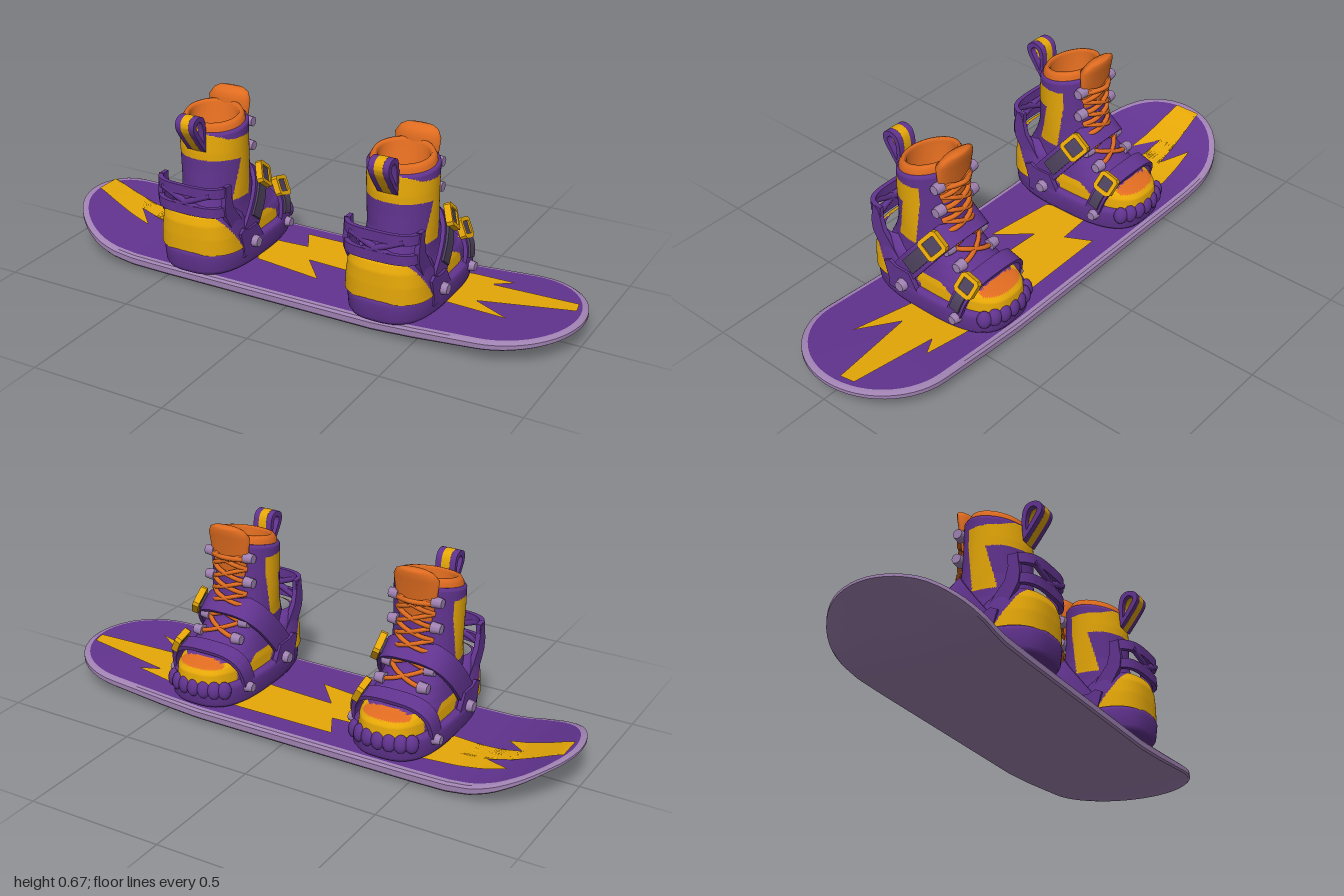
import * as THREE from 'three';
import { toCreasedNormals } from 'three/addons/utils/BufferGeometryUtils.js';

const mat = (name, color) => Object.assign(new THREE.MeshStandardMaterial({ color }), { name });
const purple = mat('purple', 0x61338f), yellow = mat('yellow', 0xe6a808), orange = mat('orange', 0xe06c20);
const lilac = mat('lilac', 0xa082b2), dark = mat('dark grey', 0x4d415c);

function add(parent, name, geo, material, x = 0, y = 0, z = 0) {
  const m = new THREE.Mesh(geo, material);
  m.name = name;
  m.position.set(x, y, z);
  parent.add(m);
  return m;
}

// Linear lookup in a table whose first column is the key
function sample(table, t) {
  let i = 1;
  while (i < table.length - 1 && table[i][0] < t) i++;
  const a = table[i - 1], b = table[i];
  const k = THREE.MathUtils.clamp((t - a[0]) / (b[0] - a[0]), 0, 1);
  return a.map((v, j) => v + (b[j] - v) * k);
}
const sampleRows = (table, y0, y1, n) => Array.from({ length: n }, (_, i) => sample(table, y0 + (y1 - y0) * i / (n - 1)));

// Skin closed rings of points (bottom to top); pick(centre) chooses the material index
function skin(rings, pick = () => 0) {
  const n = rings[0].length, buckets = [[], [], []], pts = rings.flat();
  const tri = (a, b, c) => {
    const mid = pts[a].clone().add(pts[b]).add(pts[c]).divideScalar(3);
    buckets[pick(mid)].push(a, b, c);
  };
  for (let r = 0; r < rings.length - 1; r++) for (let j = 0; j < n; j++) {
    const a = r * n + j, b = r * n + (j + 1) % n;
    tri(a, a + n, b);
    tri(b, a + n, b + n);
  }
  const geo = new THREE.BufferGeometry().setFromPoints(pts);
  geo.setIndex(buckets.flat());
  let start = 0;
  buckets.forEach((k, i) => { if (k.length) geo.addGroup(start, k.length, i); start += k.length; });
  geo.computeVertexNormals();
  return geo;
}

// Horizontal superellipse slices: rows of [y, back z, front z, half width, squareness]
function slices(rows, pick, tilt = 0, sides = 64) {
  const pow = (v, p) => Math.sign(v) * Math.abs(v) ** p;
  return skin(rows.map(([y, zb, zf, rx, p = 1]) => Array.from({ length: sides }, (_, i) => {
    const a = i / sides * Math.PI * 2;
    const z = (zb + zf) / 2 + (zb - zf) / 2 * pow(Math.sin(a), p);
    return new THREE.Vector3(rx * pow(Math.cos(a), p), y + tilt * (0.085 - z) * Math.max(0, y - 0.4) * 5, z);
  })), pick);
}

// Plate with a side outline given as [z, y], centred on x = 0
function plate(points, width, hole, curved) {
  const v = (l) => l.map(([z, y]) => new THREE.Vector2(z, y));
  const out = (p) => curved ? new THREE.SplineCurve([...v(p), v(p)[0]]).getPoints(40) : v(p);
  const shape = new THREE.Shape(out(points));
  if (hole) shape.holes.push(new THREE.Path(out(hole)));
  const geo = new THREE.ExtrudeGeometry(shape, { depth: width, bevelEnabled: false });
  return toCreasedNormals(geo.translate(0, 0, -width / 2).rotateY(-Math.PI / 2), 0.7);
}

// Bent band: half arch in local xy, extruded along z
function arch(w, h, width, thick = 0.014, a0 = 0, a1 = Math.PI) {
  const pts = [];
  const at = (a, o) => new THREE.Vector2(
    Math.sign(Math.cos(a)) * (w + o) * Math.abs(Math.cos(a)) ** 0.65, (h + o) * Math.abs(Math.sin(a)) ** 0.65);
  for (let i = 0; i <= 36; i++) pts.push(at(a0 + (a1 - a0) * i / 36, thick));
  for (let i = 36; i >= 0; i--) pts.push(at(a0 + (a1 - a0) * i / 36, 0));
  const geo = new THREE.ExtrudeGeometry(new THREE.Shape(pts), { depth: width, bevelEnabled: false });
  return toCreasedNormals(geo.translate(0, 0, -width / 2), 0.7);
}

const tube = (pts, r) => new THREE.TubeGeometry(new THREE.CatmullRomCurve3(pts), 20, r, 6);

// Board: [x, underside height, thickness]
const boardTable = [[-1, 0.135, 0.02], [-0.95, 0.118, 0.023], [-0.88, 0.083, 0.028], [-0.8, 0.047, 0.034],
  [-0.72, 0.022, 0.039], [-0.64, 0.01, 0.042], [-0.5, 0.008, 0.042], [0.35, 0.008, 0.042], [0.5, 0.018, 0.041], [1, 0.068, 0.027]];

function boardRing([inset, level, dy]) {
  const r = 0.275 - inset, L = 0.725, pts = [];
  for (const s of [1, -1]) {
    for (let i = 0; i < 28; i++) {
      const a = (i / 28 - 0.5) * Math.PI;
      pts.push([s * (L + r * Math.cos(a)), s * r * Math.sin(a)]);
    }
    for (let i = 0; i < 72; i++) pts.push([s * L * (1 - i / 36), s * r]);
  }
  return pts.map(([x, z]) => {
    const [, bottom, thick] = sample(boardTable, x);
    return new THREE.Vector3(x, bottom + thick * level + dy, z - 0.01);
  });
}

function boardBolt() {
  const outline = [[-0.97, -0.09], [-0.71, -0.102], [-0.81, -0.165], [-0.5, -0.195], [-0.3, -0.095], [-0.11, -0.107],
    [-0.16, -0.2], [0.22, -0.203], [0.35, -0.194], [0.53, -0.188], [0.69, -0.17], [0.62, -0.13], [0.95, -0.098], [0.96, -0.045],
    [0.62, 0.008], [0.77, 0.095], [0.5, 0.05], [0.2, 0], [-0.05, -0.012], [0.05, 0.105], [-0.22, 0.07],
    [-0.25, 0.014], [-0.5, 0.004], [-0.8, -0.03], [-0.72, 0.047], [-0.97, 0.011]];
  const flat = new THREE.ShapeGeometry(new THREE.Shape(outline.map((p) => new THREE.Vector2(...p)))).toNonIndexed();
  const src = flat.getAttribute('position'), pts = [];
  // Split the triangles so the paint follows the bent deck
  const split = (a, b, c, level) => {
    if (!level) return pts.push(a, c, b);
    const ab = a.clone().lerp(b, 0.5), bc = b.clone().lerp(c, 0.5), ca = c.clone().lerp(a, 0.5);
    [[a, ab, ca], [ab, b, bc], [ca, bc, c], [ab, bc, ca]].forEach((t) => split(...t, level - 1));
  };
  for (let i = 0; i < src.count; i += 3)
    split(...[0, 1, 2].map((k) => new THREE.Vector3().fromBufferAttribute(src, i + k)), 4);
  const geo = new THREE.BufferGeometry().setFromPoints(pts.map((p) => {
    const [, bottom, thick] = sample(boardTable, p.x);
    return new THREE.Vector3(p.x, bottom + thick + 0.0105, p.y);
  }));
  geo.computeVertexNormals();
  return geo;
}

// Boot slices: [y, back z, front z, half width, squareness]
const bootTable = [[0.08, 0.27, -0.265, 0.135, 0.72], [0.15, 0.27, -0.274, 0.137, 0.72], [0.185, 0.265, -0.27, 0.134, 0.72],
  [0.203, 0.26, -0.255, 0.13, 0.75], [0.215, 0.255, -0.205, 0.128, 0.75], [0.25, 0.24, -0.152, 0.122, 0.8],
  [0.28, 0.225, -0.11, 0.12, 0.85], [0.32, 0.21, -0.067, 0.12, 0.9], [0.36, 0.203, -0.046, 0.122, 1],
  [0.42, 0.2, -0.035, 0.124, 1], [0.5, 0.2, -0.03, 0.126, 1], [0.575, 0.195, -0.027, 0.128, 1]];

// Point on the front of the boot
function onFront(x, y, lift) {
  const [, zb, zf, rx, p] = sample(bootTable, y);
  const z = (zb + zf) / 2 - (zb - zf) / 2 * (1 - (Math.abs(x) / rx) ** (2 / p)) ** (p / 2);
  return new THREE.Vector3(x, y + lift * 0.5, z - lift);
}

function bootPaint({ x, y, z }) {
  if (z < -0.195 && y > 0.2 && Math.abs(x) < 0.09) return 2;
  const collarBand = y > 0.465 && y < 0.543 + Math.max(0, z - 0.15) * 0.5 && z > 0.038;
  const sideStripe = y > 0.31 && y < 0.54 && z > 0.036 + Math.max(0, 0.48 - y) * 0.12 && z < 0.104 + (0.47 - y) * 0.24;
  const sidePatch = y > 0.145 && y < 0.208 - Math.max(0, -z - 0.06) * 0.6 && z > -0.115 && z < 0.06 - (0.205 - y) * 0.6;
  const toe = z < -0.17 && y > 0.14 && y < 0.213;
  return collarBand || sideStripe || sidePatch || toe ? 1 : 0;
}

// Strap over the foot with pad and buckle on the left side
function strap(boot, name, y, z, turn, w, h, width, pad, buckle, size) {
  const g = new THREE.Group();
  g.name = name;
  g.position.set(0, y, z);
  g.rotation.x = turn;
  add(g, 'strapBand', arch(w, h, width), purple);
  add(g, 'strapPad', arch(w + 0.008, h + 0.008, width * 0.66, 0.014, ...pad), dark);
  const square = (s, c) => [[-s, c - s], [c - s, -s], [s - c, -s], [s, c - s], [s, s - c], [s - c, s], [c - s, s], [-s, s - c]];
  const frame = add(g, 'buckleFrame', plate(square(size / 2, 0.01), 0.024, square(size / 2 - 0.015, 0.003)), yellow, buckle[0], buckle[1]);
  frame.rotation.z = buckle[2];
  const core = add(g, 'buckleCore', new THREE.BoxGeometry(0.016, size * 0.7, size * 0.7), dark, buckle[0] - 0.002, buckle[1]);
  core.rotation.z = buckle[2];
  boot.add(g);
}

function makeBoot() {
  const boot = new THREE.Group();
  // Upper, liner and tongue
  const rows = [...sampleRows(bootTable, 0.08, 0.575, 110), [0.583, 0.19, -0.022, 0.123, 1], [0.583, 0.18, -0.012, 0.113, 1]];
  add(boot, 'bootUpper', slices(rows, bootPaint, 0.18, 144), [purple, yellow, orange]);
  const liner = [[0.55, 0.189, -0.018, 0.122], [0.595, 0.185, -0.012, 0.116], [0.61, 0.177, -0.005, 0.107],
    [0.612, 0.168, 0.004, 0.097], [0.6, 0.16, 0.012, 0.09], [0.45, 0.15, 0.055, 0.085], [0.449, 0.1, 0.1, 0]];
  add(boot, 'liner', slices(liner, (p) => p.y < 0.465 ? 1 : 0, 0.18), [orange, dark]);
  const tongue = [[0.48, 0, -0.032, 0.06], [0.57, 0.006, -0.041, 0.078], [0.63, 0.012, -0.052, 0.085],
    [0.655, -0.006, -0.057, 0.07], [0.665, -0.02, -0.052, 0.05], [0.667, -0.035, -0.035, 0]];
  add(boot, 'tongue', slices(tongue), orange);

  // Laces and eyelets
  const levels = [0.555, 0.505, 0.455, 0.41, 0.365, 0.315, 0.27];
  for (const s of [1, -1]) {
    for (let i = 0; i < levels.length - 1; i++) {
      const a = levels[i], b = levels[i + 1];
      const path = [-0.07, -0.035, 0, 0.035, 0.07].map((x, k) =>
        onFront(s * x, a + (b - a) * k / 4, 0.006 + (k % 4 && i < 4 ? 0.012 : 0)));
      add(boot, 'lace', tube(path, 0.009), orange);
    }
    for (const y of [0.55, 0.457, 0.315, 0.27]) {
      const p = onFront(s * 0.082, y, 0.016);
      const e = add(boot, 'eyelet', new THREE.CylinderGeometry(0.018, 0.022, 0.036, 8), lilac, p.x, p.y - 0.005, p.z);
      e.rotation.z = -s * Math.PI / 2;
    }
  }
  add(boot, 'topLace', tube([-0.07, -0.035, 0, 0.035, 0.07].map((x) => onFront(x, 0.54, 0.035 - Math.abs(x) * 0.3)), 0.01), orange);

  // Pull loop with a central stripe
  const loop = [[0.2, 0.5], [0.235, 0.545], [0.268, 0.595], [0.265, 0.628], [0.236, 0.641], [0.205, 0.628], [0.194, 0.58]];
  const inner = [[0.21, 0.535], [0.228, 0.565], [0.25, 0.6], [0.249, 0.614], [0.235, 0.623], [0.218, 0.612], [0.21, 0.58]];
  add(boot, 'pullLoop', plate(loop, 0.076, inner, true), purple);
  const grow = (l, k) => l.map(([z, y]) => [0.232 + (z - 0.232) * k, 0.585 + (y - 0.585) * k]);
  add(boot, 'pullLoopStripe', plate(grow(loop, 1.012), 0.032, grow(inner, 0.95), true), yellow);

  // Binding base with toe treads
  add(boot, 'bindingBase', slices([[0.045, 0.2, -0.2, 0.13, 0.7], [0.06, 0.28, -0.265, 0.152, 0.7], [0.075, 0.288, -0.275, 0.162, 0.7],
    [0.13, 0.295, -0.28, 0.165, 0.7], [0.146, 0.29, -0.275, 0.158, 0.7], [0.148, 0.26, -0.25, 0.13, 0.7]]), purple);
  for (let i = -3; i <= 3; i++) {
    const a = i * 0.28;
    const t = add(boot, 'toeTread', new THREE.SphereGeometry(1, 10, 8), purple,
      Math.sin(a) * 0.15, 0.13, -0.12 - 0.152 * Math.cos(a) ** 0.6);
    t.scale.set(0.026, 0.033, 0.018);
    t.rotation.set(0.15, -a, 0, 'YXZ');
  }

  // Heel cup
  const heelTable = [[0.14, 0.29, 0, 0.158, 0.8], [0.2, 0.29, 0.03, 0.151, 0.8],
    [0.25, 0.288, 0.06, 0.142, 0.85], [0.28, 0.277, 0.1, 0.13, 0.9], [0.29, 0.255, 0.12, 0.11, 0.9]];
  add(boot, 'heelCup', slices(sampleRows(heelTable, 0.14, 0.29, 30), (p) =>
    p.z > 0.16 + (p.y - 0.15) * 0.7 ? 1 : 0, 0, 128), [purple, yellow]);

  // Highback: side arms, cross bars and crossed cords
  for (const s of [1, -1]) {
    add(boot, 'highbackArm', plate([[0.235, 0.4], [0.21, 0.388], [0.19, 0.31], [0.12, 0.22], [0.12, 0.19],
      [0.17, 0.18], [0.22, 0.255], [0.24, 0.29], [0.245, 0.33], [0.24, 0.36]], 0.018), purple, s * 0.133);
    add(boot, 'sidePlate', plate([[0.155, 0.13], [0.175, 0.2], [0.15, 0.212], [0.12, 0.2], [0.06, 0.2], [0.025, 0.14],
      [0.02, 0.1], [0.155, 0.1]], 0.018), purple, s * 0.152);
    add(boot, 'highbackCord', tube([new THREE.Vector3(-s * 0.1, 0.375, 0.272), new THREE.Vector3(0, 0.335, 0.28),
      new THREE.Vector3(s * 0.1, 0.3, 0.268)], 0.012), purple);
    for (const [z, y, r, x] of [[0.088, 0.14, 0.026, 0.168], [-0.15, 0.12, 0.022, 0.162]]) {
      const b = add(boot, 'bolt', new THREE.CylinderGeometry(r * 0.75, r, 0.03, 8), lilac, s * x, y, z);
      b.rotation.z = -s * Math.PI / 2;
    }
  }
  for (const [y, w] of [[0.38, 0.036], [0.308, 0.036]])
    add(boot, 'highbackBar', arch(0.125, 0.073, w, 0.016), purple, 0, y, 0.2).rotation.x = Math.PI / 2;

  // Straps
  strap(boot, 'ankleStrap', 0.17, 0.106, -0.655, 0.138, 0.25, 0.088, [0.12, 0.95], [0.13, 0.228, 0.45], 0.084);
  strap(boot, 'toeStrap', 0.13, -0.14, -0.28, 0.142, 0.118, 0.06, [0.08, 1], [0.118, 0.122, 0.5], 0.076);
  return boot;
}

export function createModel() {
  const model = new THREE.Group();
  model.name = 'snowboard';

  // Board
  add(model, 'boardBody', toCreasedNormals(skin([[0.275, 0, -0.008], [0.18, 0, -0.005], [0.09, 0, 0], [0.006, 0, 0.005], [0, 0.25, 0.002],
    [0, 0.8, 0], [0.008, 1, 0], [0.022, 1, 0.002]].map(boardRing)), 0.6), lilac);
  add(model, 'boardDeck', skin(Array.from({ length: 11 }, (_, i) => boardRing([0.022 + 0.0253 * i, 1, 0.002 + 0.0003 * i]))), purple);
  add(model, 'boardZigzag', boardBolt(), yellow);

  // Boots
  [['rightBoot', -0.382], ['leftBoot', 0.368]].forEach(([name, x]) => {
    const boot = makeBoot();
    boot.name = name;
    boot.position.x = x;
    model.add(boot);
  });
  return model;
}
